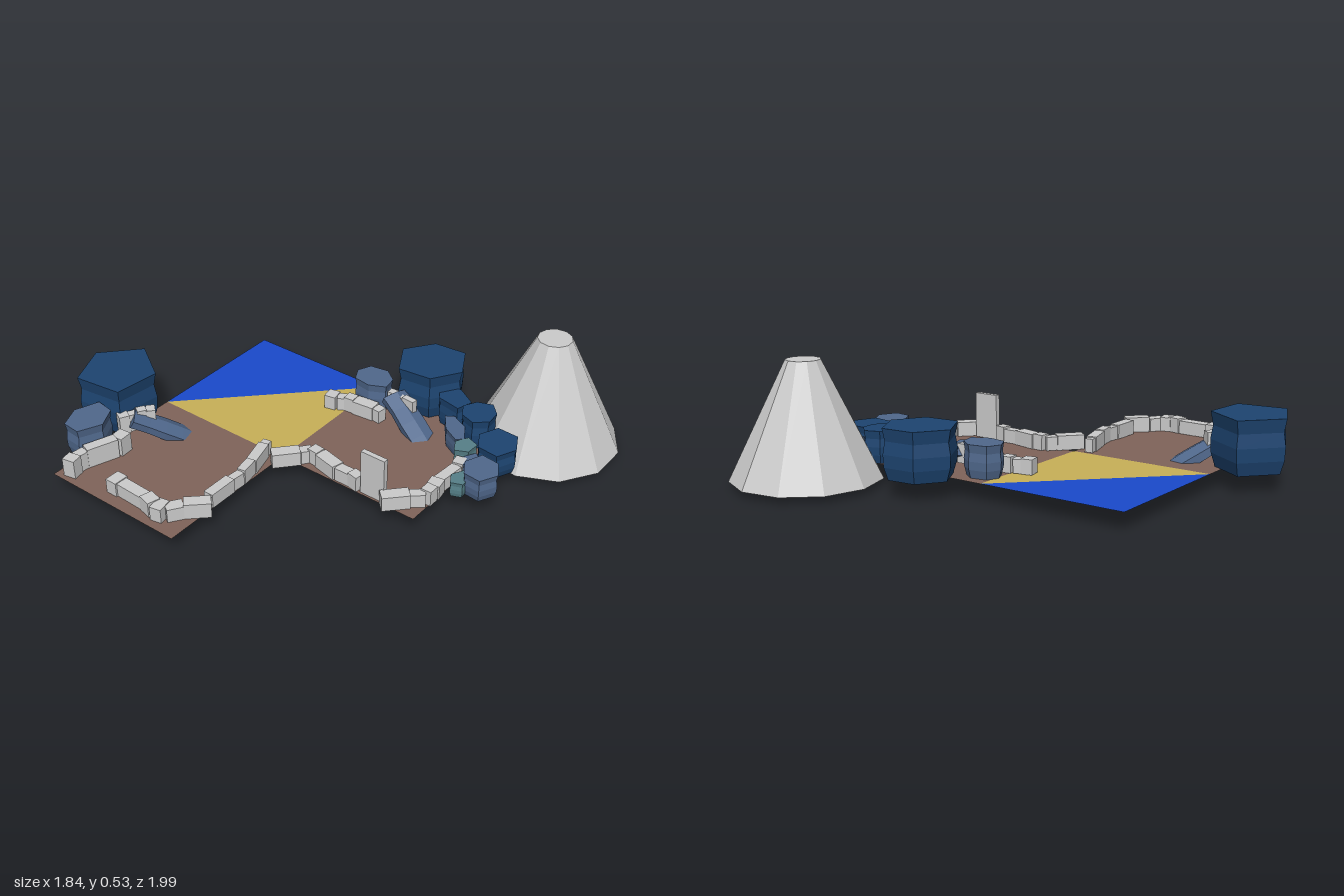
import * as THREE from 'three';

const GREY = 0xcccccc, NAVY = 0x1d4470, SLATE = 0x50688c, TEAL = 0x568088;
const BROWN = 0x80645a, SAND = 0xc8b058, BLUE = 0x1a4acb;
const U = 0.01; // layout below is written in hundredths of a unit
const GROUND = 8, MIN = -26, MAX = 40.5, SIZE = MAX - MIN, SEAM = -7;

function mesh(name, geometry, color, side = THREE.FrontSide) {
  const m = new THREE.Mesh(geometry, new THREE.MeshStandardMaterial({ color, flatShading: true, side }));
  m.name = name;
  return m;
}

// Flat ground tile from corners [x, z]
function tile(name, corners, color) {
  const shape = new THREE.Shape(corners.map(([x, z]) => new THREE.Vector2(x * U, -z * U)));
  const g = new THREE.ShapeGeometry(shape);
  g.rotateX(-Math.PI / 2).translate(0, GROUND * U, 0);
  return mesh(name, g, color, THREE.DoubleSide);
}

const square = (x, z) => [[x, z], [x + SIZE, z], [x + SIZE, z + SIZE], [x, z + SIZE]];

// Faceted boulder: an uneven polygon stacked in rings that narrow at the waist and foot
function boulderGeometry(height, rx, rz, sides, seed) {
  const rings = [0.86, 0.97, 0.99, 0.93, 1], pos = [], index = [];
  rings.forEach((s, r) => {
    for (let i = 0; i < sides; i++) {
      const a = (i / sides) * Math.PI * 2 - Math.PI / 2;
      const k = s * U * (1 + 0.07 * Math.sin(i * 2.4 + seed));
      pos.push(Math.cos(a) * rx * k, (r / (rings.length - 1) - 0.5) * height * U, Math.sin(a) * rz * k);
    }
  });
  const last = (rings.length - 1) * sides, low = rings.length * sides;
  pos.push(0, -height / 2 * U, 0, 0, height / 2 * U, 0);
  for (let i = 0; i < sides; i++) {
    const j = (i + 1) % sides;
    for (let r = 0; r < last; r += sides) {
      const a = r + i, b = r + j;
      index.push(b, a, a + sides, b, a + sides, b + sides);
    }
    index.push(low, i, j, low + 1, last + j, last + i);
  }
  const g = new THREE.BufferGeometry();
  g.setAttribute('position', new THREE.Float32BufferAttribute(pos, 3));
  g.setIndex(index);
  g.computeVertexNormals();
  return g;
}

// Upright boulder standing on the ground
function boulder(name, color, top, x, z, rx, rz, sides, turn = 0) {
  const m = mesh(name, boulderGeometry(top - GROUND, rx, rz, sides, x), color);
  m.position.set(x * U, ((top + GROUND) / 2) * U, z * U);
  m.rotation.y = -THREE.MathUtils.degToRad(turn);
  return m;
}

// Long stone lying at a slope, its axis pointing to the raised end
function slopingStone(name, x, z, axis) {
  const m = mesh(name, boulderGeometry(30, 7, 3.8, 6, x), SLATE);
  const up = axis.normalize();
  const across = new THREE.Vector3(0, 1, 0).cross(up).normalize();
  m.quaternion.setFromRotationMatrix(
    new THREE.Matrix4().makeBasis(across, up, new THREE.Vector3().crossVectors(across, up)));
  m.position.set(x * U, 10.4 * U, z * U);
  return m;
}

// Wall of blocks, one between each two neighbouring points [x, z]
function wall(name, points, thickness = 5, top = 15, bottom = GROUND + 0.2) {
  const group = new THREE.Group();
  group.name = name;
  for (let i = 1; i < points.length; i++) {
    const [x0, z0] = points[i - 1], [x1, z1] = points[i];
    const depth = thickness * (1 + 0.15 * Math.sin(i * 2));
    const height = top - bottom - (i % 3) * 0.4;
    const b = mesh('wallBlock', new THREE.BoxGeometry(Math.hypot(x1 - x0, z1 - z0) * U, height * U, depth * U), GREY);
    b.position.set((x0 + x1) / 2 * U, (bottom + height / 2) * U, (z0 + z1) / 2 * U);
    b.rotation.y = -Math.atan2(z1 - z0, x1 - x0);
    group.add(b);
  }
  return group;
}

export function createModel() {
  const model = new THREE.Group();
  model.name = 'coastalDiorama';

  // Ground: two earth squares and one split diagonally into sand and water
  const [nw, ne, se, sw] = square(MIN, SEAM - SIZE);
  model.add(
    tile('backGround', square(MIN - SIZE, SEAM - SIZE), BROWN),
    tile('frontGround', square(MIN, SEAM), BROWN),
    tile('sand', [nw, se, sw], SAND),
    tile('water', [nw, ne, se], BLUE));

  // Truncated cone mountain
  const cone = mesh('mountain', new THREE.CylinderGeometry(0.074, 0.322, 0.5, 11), GREY);
  cone.rotation.y = Math.PI;
  cone.position.set(0.6, 0.28, 0.69);
  model.add(cone);

  // Boulders at the back
  model.add(
    boulder('largeBackBoulder', NAVY, 31.5, -44.5, -82, 17.5, 18, 5, 10),
    boulder('backBoulder', SLATE, 23, -69.5, -75.5, 11.5, 8.5, 6));

  // Boulders along the side and round the front corner
  model.add(
    boulder('sideBoulder', SLATE, 22, 29.5, -0.5, 7.5, 9.5, 7),
    boulder('largeSideBoulder', NAVY, 29.5, 46, 19, 15.5, 15, 6),
    boulder('innerBoulder', NAVY, 21, 39, 35, 6.5, 9.5, 5, 20),
    boulder('longBoulder', SLATE, 17, 25, 45, 10, 4, 6, -47),
    boulder('cornerBoulder', NAVY, 22, 34.5, 50.5, 8, 8, 7),
    boulder('frontBoulder', NAVY, 20, 23.5, 66.5, 9.5, 9.5, 6),
    boulder('frontSlateBoulder', SLATE, 19, 5.5, 70, 8.5, 8, 6),
    boulder('frontTealBoulder', TEAL, 15, -0.5, 64, 5, 4.2, 5),
    boulder('innerTealBoulder', TEAL, 17, 17, 55, 5.5, 5, 5),
    boulder('smallBoulder', SLATE, 15, 12.5, 61.5, 5, 4, 5),
    boulder('wedgeBoulder', SLATE, 16, 30.5, 59.5, 4, 4, 5));

  // Sloping stones that dip through the ground
  model.add(
    slopingStone('backSlopingStone', -44, -57.5, new THREE.Vector3(-0.62, 0.48, -0.62)),
    slopingStone('sideSlopingStone', 24, 24, new THREE.Vector3(0.27, 0.48, -0.83)));

  // Walls
  model.add(
    wall('backWall', [[-90, -66.5], [-85, -67.5], [-80, -67], [-67, -62.5], [-61, -63]], 5, 17),
    wall('leftWall', [[-84, -47.5], [-84, -42], [-84.5, -28], [-86, -22], [-85, -17], [-79, -13], [-71.5, -5]], 6),
    wall('middleWall', [[-69, -9], [-56, -9], [-50, -8.5], [-42, -10], [-30, -13.5], [-27, -14]], 4),
    wall('frontLeftWall', [[-33, -7], [-24, 1], [-20, 4], [-20.5, 9], [-23, 20], [-23, 27], [-24, 32]]),
    wall('tallSlab', [[-24, 33], [-24, 44.5]], 2, 28.9),
    wall('frontWall', [[-28, 45], [-19.5, 53], [-15.5, 58], [-10.5, 58], [-5, 57], [7, 58], [12, 57]]),
    wall('frontRightWall', [[16, -16], [17, -11], [19, -7.5], [19.5, -3], [20.5, 7], [20, 11]]));

  // Rows of small blocks resting on the sloping stones
  model.add(
    wall('backStoneBlocks', [[-59, -69], [-55, -67], [-51.5, -65.5], [-48, -63.5], [-45, -61]], 4, 21, 12),
    wall('sideStoneBlocks', [[28, 9], [28.3, 13], [27.5, 17], [27, 23]], 3, 20, 11.5));

  return model;
}
